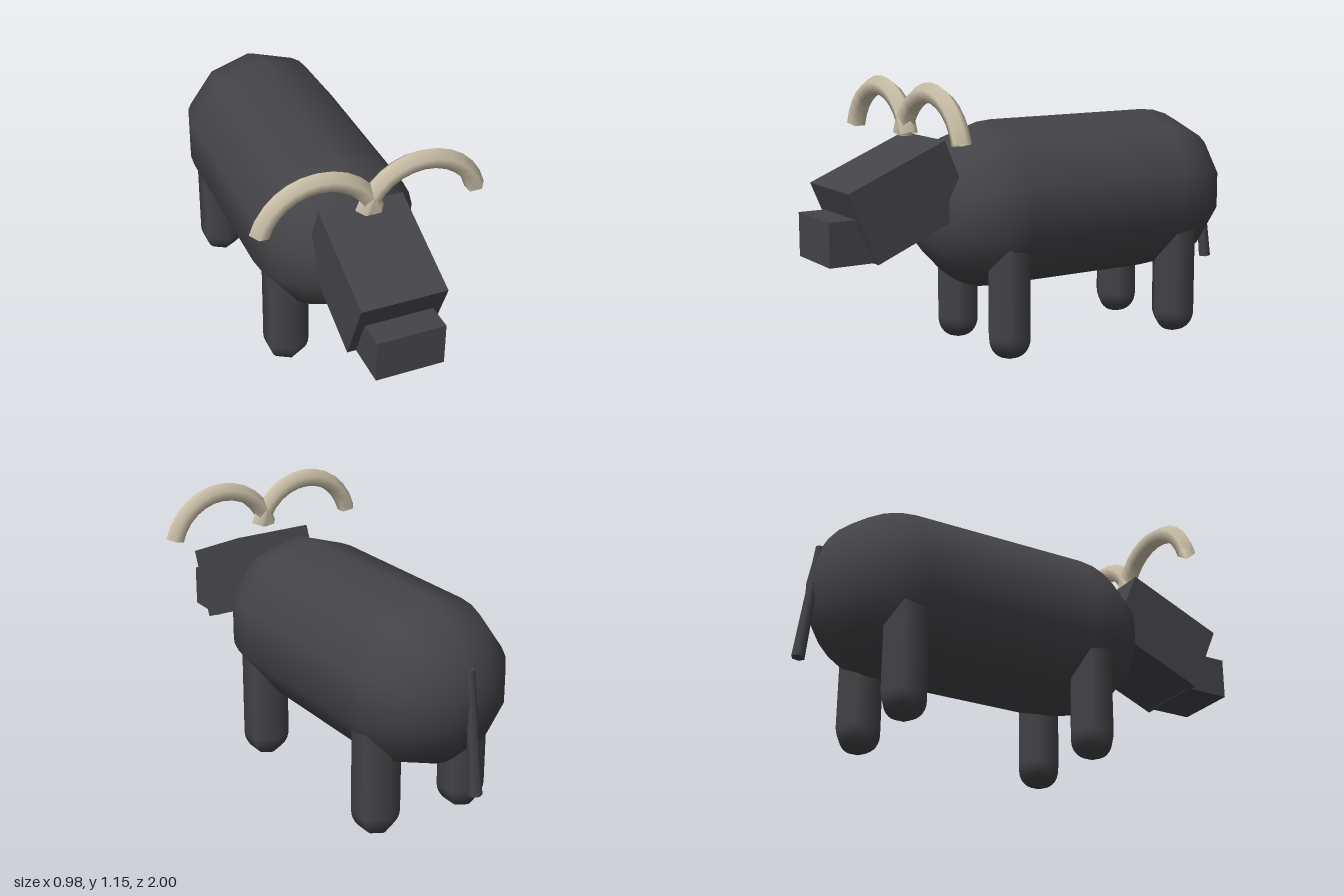
import * as THREE from 'three';

export function createModel() {
  const model = new THREE.Group();
  const hide = new THREE.MeshStandardMaterial({ color: 0x444347 });
  hide.name = 'charcoalHide';
  const bone = new THREE.MeshStandardMaterial({ color: 0xcdc2aa, side: THREE.DoubleSide });
  bone.name = 'paleHorn';

  function add(name, geometry, material, x, y, z) {
    const mesh = new THREE.Mesh(geometry, material);
    mesh.name = name;
    mesh.position.set(x, y, z);
    model.add(mesh);
    return mesh;
  }

  // Capsule with an edge line facing +z
  const capsule = (radius, length, sides) =>
    new THREE.CapsuleGeometry(radius, length, 8, sides).rotateY(Math.PI / 2);

  // Barrel body lying along z
  add('body', capsule(0.354, 0.78, 10).rotateX(Math.PI / 2), hide, 0, 0.614, -0.195);

  // Head tipped forward, with a level muzzle
  add('head', new THREE.BoxGeometry(0.355, 0.313, 0.457), hide, 0, 0.685, 0.661).rotation.x = 0.4;
  add('muzzle', new THREE.BoxGeometry(0.284, 0.178, 0.2), hide, 0, 0.543, 0.9);

  // Legs and horns, mirrored left and right
  const arc = 2.6;
  for (const [side, s] of [['left', 1], ['right', -1]]) {
    add(side + 'FrontLeg', capsule(0.098, 0.38, 6), hide, s * 0.213, 0.288, 0.237);
    add(side + 'BackLeg', capsule(0.098, 0.38, 6), hide, s * 0.213, 0.288, -0.615);

    const horn = new THREE.TorusGeometry(0.243, 0.041, 5, 12, arc).rotateZ((Math.PI - arc) / 2);
    add(side + 'Horn', horn, bone, s * 0.214, 0.869, 0.593);
  }

  // Tail widening to its tip, swung slightly back
  add('tail', new THREE.CylinderGeometry(0.018, 0.0275, 0.503, 6), hide, 0, 0.511, -0.942).rotation.x = 0.12;

  return model;
}
